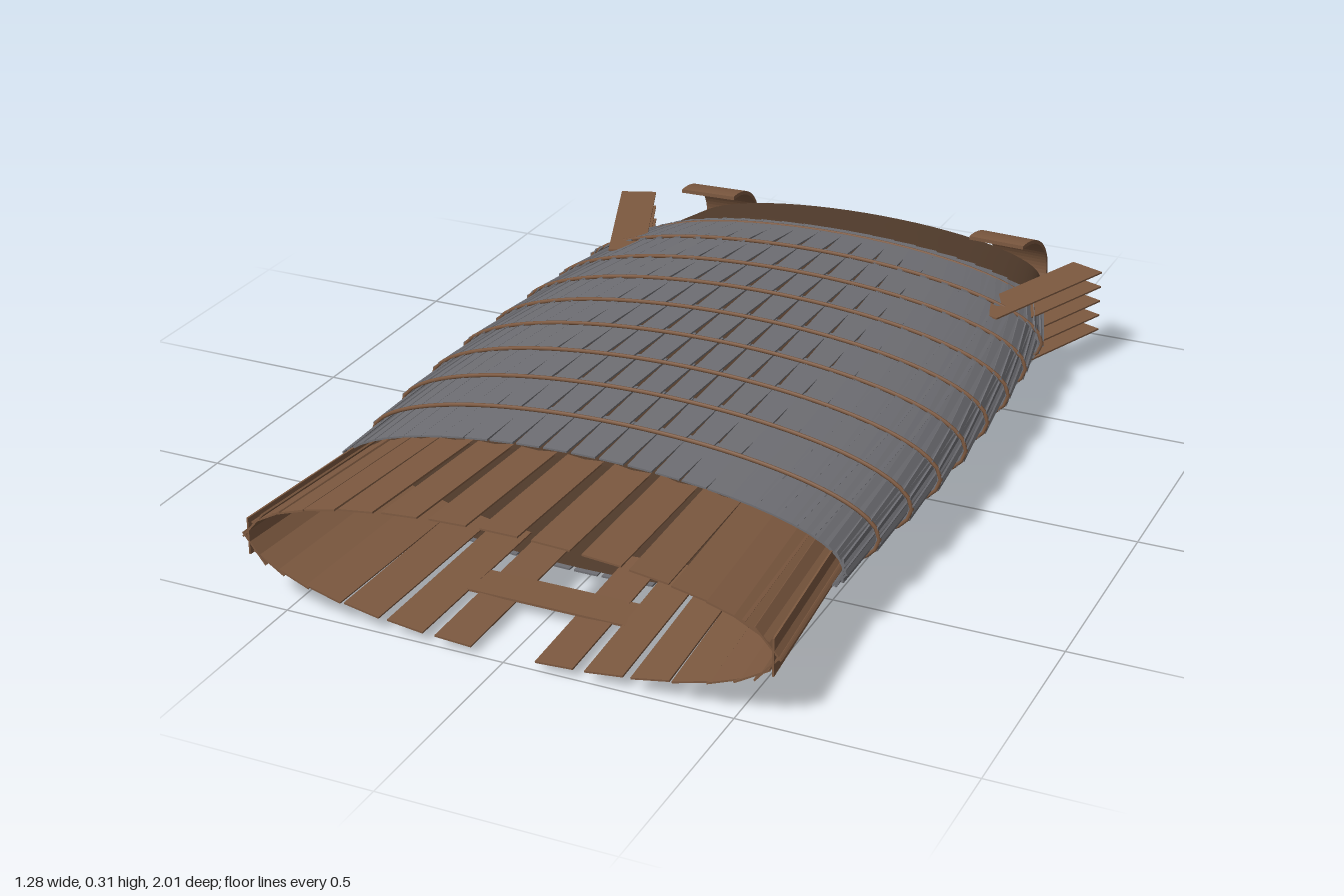
import * as THREE from 'three';
import { mergeGeometries } from 'three/addons/utils/BufferGeometryUtils.js';

const CY = 0.155; // height of the torso axis

// Elliptical torso: z, half width, half height
const PROFILE = [
  [-0.93, 0.465, 0.097], [-0.75, 0.515, 0.115], [-0.56, 0.56, 0.126], [-0.26, 0.58, 0.136],
  [0.1, 0.588, 0.139], [0.34, 0.575, 0.136], [0.64, 0.548, 0.126],
];

function sizeAt(z) {
  let i = 0;
  while (i < PROFILE.length - 2 && z > PROFILE[i + 1][0]) i++;
  const [z0, a0, b0] = PROFILE[i], [z1, a1, b1] = PROFILE[i + 1];
  const f = THREE.MathUtils.clamp((z - z0) / (z1 - z0), 0, 1);
  return [a0 + (a1 - a0) * f, b0 + (b1 - b0) * f];
}

const onEllipse = (a, b, t, z) =>
  new THREE.Vector3(a * Math.cos(t), CY + b * Math.sin(t), z);

// Flat plate lying on the torso from p0 to p1, tapered towards the front
function plate(p0, p1, tangent, width, taper, thick) {
  const dir = p1.clone().sub(p0);
  const length = dir.length();
  dir.normalize();
  const side = tangent.clone().addScaledVector(dir, -tangent.dot(dir)).normalize();
  const up = dir.clone().cross(side);
  const geo = new THREE.BoxGeometry(width, thick, length);
  const pos = geo.attributes.position;
  for (let i = 0; i < pos.count; i++) {
    if (pos.getZ(i) > 0) pos.setX(i, pos.getX(i) * taper);
  }
  const m = new THREE.Matrix4().makeBasis(side, up, dir);
  m.setPosition(p0.clone().add(p1).multiplyScalar(0.5));
  return geo.applyMatrix4(m);
}

// Ring of plates between two ellipses; skip drops one by index
function plateRing(count, z0, a0, b0, z1, a1, b1, width, taper, thick, skip = -1) {
  const parts = [];
  for (let k = 0; k < count; k++) {
    if (k === skip) continue;
    const t = (k / count) * Math.PI * 2;
    const tangent = new THREE.Vector3(-a1 * Math.sin(t), b1 * Math.cos(t), 0).normalize();
    parts.push(plate(onEllipse(a0, b0, t, z0), onEllipse(a1, b1, t, z1), tangent, width, taper, thick));
  }
  return mergeGeometries(parts);
}

export function createModel() {
  const group = new THREE.Group();
  const material = (name, color, side = THREE.FrontSide) => {
    const m = new THREE.MeshStandardMaterial({ color, side });
    m.name = name;
    return m;
  };
  const darkLeather = material('dark leather', 0x523c2c, THREE.DoubleSide);
  const leather = material('leather', 0x7d5940);
  const steel = material('steel', 0x6f6f74);
  const add = (name, geo, mat) => {
    const mesh = new THREE.Mesh(geo, mat);
    mesh.name = name;
    group.add(mesh);
    return mesh;
  };

  // Leather backing tube, open at both ends
  const backing = new THREE.CylinderGeometry(1, 1, 1.57, 64, 24, true);
  backing.rotateX(Math.PI / 2).translate(0, 0, -0.145);
  const pos = backing.attributes.position;
  for (let i = 0; i < pos.count; i++) {
    const [a, b] = sizeAt(pos.getZ(i));
    pos.setXY(i, pos.getX(i) * a, CY + pos.getY(i) * b);
  }
  backing.computeVertexNormals();
  add('backing', backing, darkLeather);

  // Nine overlapping rows of scales, each with a lacing ring near its upper edge
  for (let row = 0; row < 9; row++) {
    const z1 = -0.563 + row * 0.15;
    const z0 = z1 - 0.182;
    const [a0, b0] = sizeAt(z0);
    const [a1, b1] = sizeAt(z1);
    add('scaleRow' + (row + 1),
      plateRing(56, z0, a0 + 0.006, b0 + 0.005, z1, a1 + 0.026, b1 + 0.011, 0.063, 0.86, 0.004), steel);

    const zr = z1 - 0.152;
    const [ar, br] = sizeAt(zr);
    const lift = row === 0 ? 0.007 : 0.031;
    const points = [];
    for (let i = 0; i < 64; i++) {
      points.push(onEllipse(ar + lift, br + (row === 0 ? 0.007 : 0.012), (i / 64) * Math.PI * 2, zr));
    }
    const path = new THREE.CatmullRomCurve3(points, true);
    add('lacingRing' + (row + 1), new THREE.TubeGeometry(path, 96, 0.0045, 6, true), leather);
  }

  // Skirt of leather strips; the lowest middle one is left out
  add('skirtStrips',
    plateRing(32, 0.56, 0.543, 0.122, 1, 0.58, 0.136, 0.083, 1, 0.004, 24), leather);

  // Cross bar joining the strips beside the gap
  const bar = add('skirtBar', new THREE.BoxGeometry(0.36, 0.005, 0.09), leather);
  bar.position.set(0, CY - 0.124, 0.775);

  // Curved shoulder loops at the neck end
  const arc = new THREE.Shape();
  arc.absellipse(0, 0, 0.18, 0.127, -Math.PI / 2, Math.PI / 2, false);
  arc.absellipse(0, 0, 0.171, 0.118, Math.PI / 2, -Math.PI / 2, true);
  const loop = new THREE.ExtrudeGeometry(arc, { depth: 0.14, bevelEnabled: false, curveSegments: 20 });
  loop.translate(0, 0, -0.07).rotateY(Math.PI / 2);

  for (const s of [1, -1]) {
    const name = s > 0 ? 'left' : 'right';
    const strap = add(name + 'ShoulderLoop', loop, leather);
    strap.position.set(s * 0.383, CY, -0.82);
    strap.rotation.y = s * -0.05;

    // Stack of flat side ties
    const ties = new THREE.Group();
    ties.name = name + 'SideTies';
    for (let i = -2; i <= 2; i++) {
      const tie = new THREE.Mesh(new THREE.BoxGeometry(0.088, 0.004, 0.39), leather);
      tie.name = 'sideTie';
      tie.position.y = i * 0.0372;
      ties.add(tie);
    }
    ties.position.set(s * 0.53, CY + 0.002, -0.688);
    ties.rotation.y = s * -0.37;
    group.add(ties);
  }
  return group;
}
